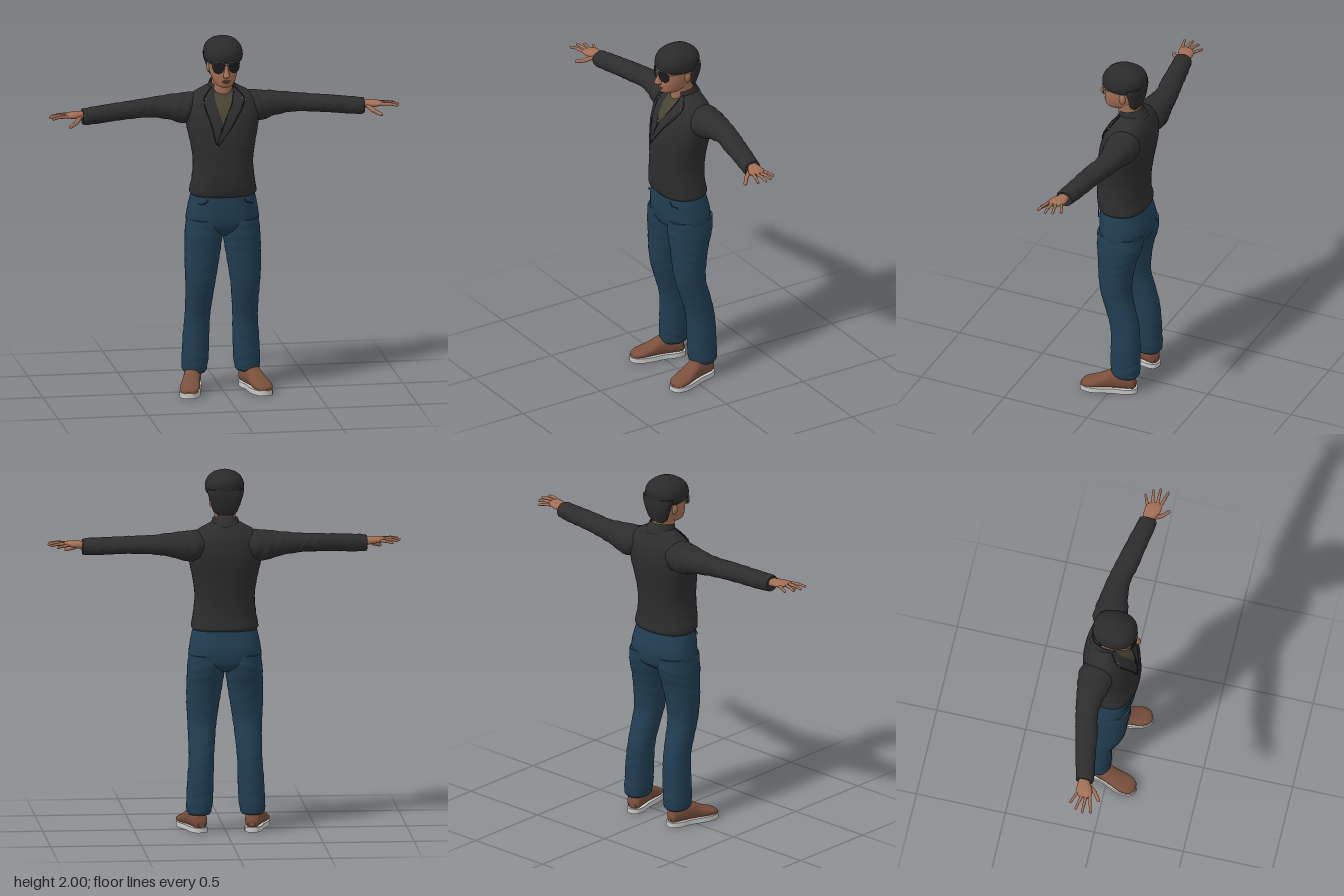
import * as THREE from 'three';
import { mergeVertices } from 'three/addons/utils/BufferGeometryUtils.js';

const V = (x, y, z) => new THREE.Vector3(x, y, z);
const paint = (name, color, side = THREE.FrontSide) => {
  const m = new THREE.MeshStandardMaterial({ color, side });
  m.name = name;
  return m;
};

// Smoothly resample rows of [t, centre, front, back, halfWidth]
function resample(rows, steps) {
  const out = [];
  for (let i = 0; i < rows.length - 1; i++) {
    const p = [rows[Math.max(i - 1, 0)], rows[i], rows[i + 1], rows[Math.min(i + 2, rows.length - 1)]];
    for (let s = 0; s < steps; s++) {
      const u = s / steps;
      out.push(p[1].map((b, k) => {
        if (k === 0) return b + (p[2][0] - b) * u;
        const a = p[0][k], c = p[2][k], d = p[3][k];
        return b + 0.5 * u * (c - a + u * (2 * a - 5 * b + 4 * c - d + u * (3 * (b - c) + d - a)));
      }));
    }
  }
  out.push(rows[rows.length - 1]);
  return out;
}

// Closed skin through rounded cross-sections stacked along t
function loft(rows, { map = (a, t, b) => [a, t, b], n = 2.3, ripple = 0, segs = 36, steps = 4 } = {}) {
  const fine = resample(rows, steps), pos = [], idx = [];
  const round = v => Math.sign(v) * Math.abs(v) ** (2 / n);
  const ring = ([t, cx, zf, zb, rx]) => {
    for (let j = 0; j < segs; j++) {
      const a = (j / segs) * Math.PI * 2;
      const k = 1 + ripple * Math.sin(t * 95 + 2 * Math.sin(a * 2 + t * 9)) * Math.sin(a + t * 14);
      pos.push(...map(cx + k * rx * round(Math.cos(a)), t, (zf + zb) / 2 + k * (zf - zb) / 2 * round(Math.sin(a))));
    }
  };
  fine.forEach(ring);
  for (let i = 0; i < fine.length - 1; i++) for (let j = 0; j < segs; j++) {
    const a = i * segs + j, c = i * segs + (j + 1) % segs;
    idx.push(a, a + segs, c, c, a + segs, c + segs);
  }
  [fine[0], fine[fine.length - 1]].forEach((r, top) => {
    const base = pos.length / 3;
    ring(r);
    pos.push(...map(r[1], r[0], (r[2] + r[3]) / 2));
    for (let j = 0; j < segs; j++) {
      const a = base + j, b = base + (j + 1) % segs;
      idx.push(base + segs, top ? b : a, top ? a : b);
    }
  });
  const g = new THREE.BufferGeometry();
  g.setAttribute('position', new THREE.Float32BufferAttribute(pos, 3));
  g.setIndex(idx);
  g.computeVertexNormals();
  return g;
}

function mirror(geo) {
  const g = (geo.index ? geo.clone() : mergeVertices(geo)).scale(-1, 1, 1);
  const a = g.index.array;
  for (let i = 0; i < a.length; i += 3) [a[i], a[i + 1]] = [a[i + 1], a[i]];
  return g;
}

function rod(p, q, r) {
  const d = q.clone().sub(p);
  const g = new THREE.CapsuleGeometry(r, d.length(), 4, 12);
  g.applyQuaternion(new THREE.Quaternion().setFromUnitVectors(V(0, 1, 0), d.normalize()));
  return g.translate((p.x + q.x) / 2, (p.y + q.y) / 2, (p.z + q.z) / 2);
}
const ball = (x, y, z, rx, ry, rz) => new THREE.SphereGeometry(1, 20, 14).scale(rx, ry, rz).translate(x, y, z);
const tube = (pts, r, closed = false) =>
  new THREE.TubeGeometry(new THREE.CatmullRomCurve3(pts, closed), pts.length * 6, r, 6, closed);

export function createModel() {
  const root = new THREE.Group();
  root.name = 'man';
  const skin = paint('skin', 0xa36f55), lip = paint('lips', 0x834f40), hair = paint('hair', 0x2b2a2a);
  const jacket = paint('jacket', 0x2e2d2d, THREE.DoubleSide), seam = paint('seam', 0x1a1a1a);
  const shirt = paint('shirt', 0x4a4435, THREE.DoubleSide), jeans = paint('jeans', 0x213e52);
  const leather = paint('shoe leather', 0x7a4f3c), white = paint('sole', 0xc9c9c7), metal = paint('metal', 0xa9a9a6);
  const add = (name, geo, mat) => {
    const m = new THREE.Mesh(geo, mat);
    m.name = name;
    root.add(m);
  };
  const pair = (name, geo, mat) => {
    add('left ' + name, geo, mat);
    add('right ' + name, mirror(geo), mat);
  };

  // Jacket body
  const torso = [
    [1.115, 0, .12, -.132, .176], [1.13, 0, .134, -.14, .185], [1.2, 0, .142, -.131, .173],
    [1.3, 0, .14, -.135, .165], [1.4, 0, .136, -.148, .178], [1.5, 0, .121, -.164, .198],
    [1.58, 0, .095, -.166, .203], [1.64, 0, .057, -.153, .19], [1.68, 0, .026, -.133, .145],
    [1.71, 0, .008, -.115, .09], [1.722, 0, 0, -.105, .065]];
  add('jacket body', loft(torso, { ripple: .006, segs: 48 }), jacket);

  // Front surface of the jacket, used to lay shirt, lapels and seams on it
  const fine = resample(torso, 8);
  const frontZ = (x, y) => {
    const i = Math.max(1, fine.findIndex(r => r[0] >= y)), a = fine[i - 1], b = fine[i];
    const r = a.map((v, k) => v + (b[k] - v) * (y - a[0]) / (b[0] - a[0]));
    const q = Math.min(.98, Math.abs(x) / r[4]);
    return (r[2] + r[3]) / 2 + (r[2] - r[3]) / 2 * (1 - q ** 2.3) ** (1 / 2.3);
  };
  const patch = (rows, lift) => {
    const g = new THREE.PlaneGeometry(1, 1, 10, 24), p = g.attributes.position;
    for (let i = 0; i < p.count; i++) {
      const u = p.getX(i) + .5, w = (.5 - p.getY(i)) * (rows.length - 1);
      const k = Math.min(rows.length - 2, Math.floor(w)), f = w - k;
      const [y, x0, x1] = rows[k].map((v, c) => v + (rows[k + 1][c] - v) * f);
      const x = x0 + (x1 - x0) * u;
      p.setXYZ(i, x, y, frontZ(x, y) + lift);
    }
    g.computeVertexNormals();
    return g;
  };
  const line = (pts, lift) => tube(pts.map(([x, y]) => V(x, y, frontZ(x, y) + lift)), .0025);
  add('shirt', patch([[1.69, -.058, .058], [1.62, -.05, .038], [1.53, -.02, -.012]], .005), shirt);
  add('left lapel', patch([[1.715, .05, .068], [1.65, .045, .112], [1.53, -.012, .04], [1.41, -.055, -.05]], .009), jacket);
  add('right lapel', patch([[1.715, -.068, -.05], [1.65, -.112, -.052], [1.53, -.083, -.02], [1.42, -.058, -.052]], .008), jacket);
  add('left lapel edge', line([[.068, 1.71], [.112, 1.65], [.04, 1.53], [-.05, 1.41]], .009), seam);
  add('left lapel inner edge', line([[.055, 1.69], [.042, 1.64], [-.012, 1.53], [-.055, 1.41]], .009), seam);
  add('right lapel edge', line([[-.068, 1.71], [-.112, 1.65], [-.083, 1.53], [-.058, 1.42]], .008), seam);
  for (const [x, y] of [[.1, 1.655], [.12, 1.645], [-.1, 1.655], [-.115, 1.64]])
    add('stud', ball(x, y, frontZ(x, y) + .01, .005, .005, .004), metal);
  add('zip pull', ball(-.055, 1.41, frontZ(-.055, 1.41) + .006, .004, .008, .004), metal);
  const collar = new THREE.CylinderGeometry(.067, .088, .06, 40, 2, true, .75, Math.PI * 2 - 1.5);
  add('collar', collar.rotateX(.18).translate(0, 1.712, -.042), jacket);

  // Sleeves run outward along x
  const alongX = (a, t, b) => [t, -a, b];
  pair('sleeve', loft([
    [.11, -1.595, .0, -.14, .06], [.16, -1.59, .025, -.16, .082], [.22, -1.586, .025, -.158, .082],
    [.3, -1.594, .005, -.145, .066], [.4, -1.596, -.003, -.128, .053], [.5, -1.593, .018, -.106, .049],
    [.6, -1.588, .032, -.083, .048], [.7, -1.581, .048, -.06, .048], [.765, -1.578, .058, -.043, .046],
    [.782, -1.578, .054, -.04, .042]], { map: alongX, n: 2.1, ripple: .03, steps: 7 }), jacket);

  // Hands
  pair('palm', loft([
    [.755, -1.587, .038, -.02, .024], [.79, -1.588, .042, -.022, .021], [.825, -1.59, .062, -.024, .019],
    [.86, -1.592, .069, -.018, .014], [.882, -1.591, .064, .002, .009]], { map: alongX, segs: 24 }), skin);
  const fingers = {
    index: [[.868, 1.593, .059], [.92, 1.594, .073], [.955, 1.588, .083]],
    middle: [[.872, 1.594, .039], [.928, 1.595, .038], [.964, 1.588, .038]],
    ring: [[.866, 1.593, .018], [.915, 1.593, .006], [.95, 1.586, -.001]],
    little: [[.848, 1.59, -.006], [.885, 1.588, -.024], [.918, 1.582, -.037]],
    thumb: [[.8, 1.58, .04], [.828, 1.56, .078], [.862, 1.547, .106]]
  };
  for (const [name, pts] of Object.entries(fingers)) {
    const [a, b, c] = pts.map(p => V(...p)), r = name === 'thumb' ? .012 : .0085;
    pair(name + ' finger base', rod(a, b, r), skin);
    pair(name + ' finger tip', rod(b, c, r * .85), skin);
  }

  // Jeans
  add('jeans hips', loft([
    [.885, 0, .05, -.09, .07], [.92, 0, .095, -.138, .17], [.96, 0, .115, -.152, .2],
    [1.02, 0, .122, -.155, .196], [1.09, 0, .122, -.137, .183], [1.135, 0, .118, -.128, .172]]), jeans);
  pair('jeans leg', loft([
    [.098, .147, .0, -.14, .058], [.11, .147, .008, -.149, .067], [.15, .145, .013, -.152, .072], [.2, .142, .015, -.15, .073],
    [.3, .138, .015, -.148, .072], [.4, .133, .022, -.14, .069], [.5, .129, .05, -.116, .073],
    [.6, .125, .08, -.09, .08], [.7, .12, .094, -.094, .09], [.8, .112, .102, -.112, .098],
    [.9, .104, .112, -.142, .103], [.98, .1, .112, -.148, .098]], { ripple: .014, n: 2.15, steps: 6 }), jeans);
  pair('pocket seam', tube([V(.1, 1.105, .112), V(.115, 1.085, .109), V(.15, 1.075, .09)], .003), jeans);

  // Shoes, toes turned outward
  const place = g => g.rotateY(.27).translate(.177, 0, .015);
  pair('shoe', place(loft([
    [-.148, 0, .065, .03, .02], [-.135, 0, .108, .02, .038], [-.08, 0, .13, .02, .045], [-.02, 0, .128, .02, .046],
    [.03, 0, .1, .02, .05], [.08, 0, .076, .02, .055], [.12, 0, .063, .02, .05], [.145, 0, .05, .02, .034],
    [.155, 0, .038, .02, .012]], { map: (a, t, b) => [-a, b, t] })), leather);
  const side = [[.03, -.148], [.047, -.1], [.045, -.03], [.056, .06], [.053, .11], [.032, .15]];
  const outline = [...side, [0, .16], ...side.map(([x, z]) => [-x, z]).reverse(), [0, -.157]];
  const sole = new THREE.Shape(new THREE.CatmullRomCurve3(outline.map(([x, z]) => V(x, -z, 0)), true)
    .getPoints(60).slice(0, -1).map(p => new THREE.Vector2(p.x, p.y)));
  pair('shoe sole', place(new THREE.ExtrudeGeometry(sole, { depth: .028, bevelEnabled: false }).rotateX(-Math.PI / 2)), white);

  // Head and neck
  add('neck', loft([[1.64, 0, .03, -.1, .058], [1.69, 0, .033, -.09, .056], [1.73, 0, .035, -.088, .056], [1.79, 0, .04, -.09, .06]]), skin);
  add('face', loft([
    [1.728, 0, .09, .035, .022], [1.738, 0, .106, -.01, .044], [1.76, 0, .113, -.055, .06], [1.79, 0, .115, -.085, .071],
    [1.82, 0, .114, -.09, .077], [1.86, 0, .115, -.1, .08], [1.9, 0, .112, -.1, .084], [1.94, 0, .085, -.09, .07]]), skin);
  add('nose', loft([[1.787, 0, .125, .1, .012], [1.798, 0, .146, .1, .018], [1.81, 0, .146, .1, .016],
    [1.835, 0, .132, .1, .01], [1.865, 0, .119, .1, .008]], { n: 2, segs: 20 }), skin);
  add('upper lip', ball(0, 1.771, .111, .024, .004, .008), lip);
  add('lower lip', ball(0, 1.763, .11, .02, .005, .008), lip);
  pair('ear', ball(.078, 1.825, -.018, .01, .03, .019), skin);
  pair('eyebrow', rod(V(.015, 1.878, .113), V(.058, 1.878, .088), .005), hair);

  // Hair
  add('hair top', loft([
    [1.862, 0, .1, -.1, .09], [1.876, 0, .121, -.112, .103], [1.9, 0, .125, -.118, .107], [1.93, 0, .12, -.12, .104],
    [1.96, 0, .1, -.106, .09], [1.983, 0, .065, -.074, .063], [1.996, 0, .025, -.035, .028], [2, 0, .004, -.01, .006]]), hair);
  add('hair back', loft([
    [1.752, 0, -.055, -.088, .042], [1.775, 0, -.04, -.1, .064], [1.82, 0, -.036, -.112, .08],
    [1.87, 0, -.025, -.118, .097], [1.9, 0, -.02, -.116, .1]]), hair);

  // Sunglasses
  const rim = [[-.03, .022], [0, .026], [.03, .022], [.036, .004], [.026, -.024], [.004, -.034], [-.02, -.024], [-.033, .002]];
  const rimCurve = new THREE.CatmullRomCurve3(rim.map(([x, y]) => V(x, y, 0)), true);
  const lens = new THREE.Shape(rimCurve.getPoints(40).slice(0, -1).map(p => new THREE.Vector2(p.x, p.y)));
  const fit = g => g.rotateY(.38).translate(.041, 1.85, .113);
  pair('lens', fit(new THREE.ExtrudeGeometry(lens, { depth: .004, bevelEnabled: false })), seam);
  pair('lens rim', fit(new THREE.TubeGeometry(rimCurve, 48, .0022, 6, true)), metal);
  pair('temple arm', tube([V(.074, 1.862, .1), V(.084, 1.862, .06), V(.087, 1.855, -.02)], .0025), metal);
  add('bridge', tube([V(-.012, 1.862, .124), V(0, 1.866, .128), V(.012, 1.862, .124)], .0025), metal);
  return root;
}
